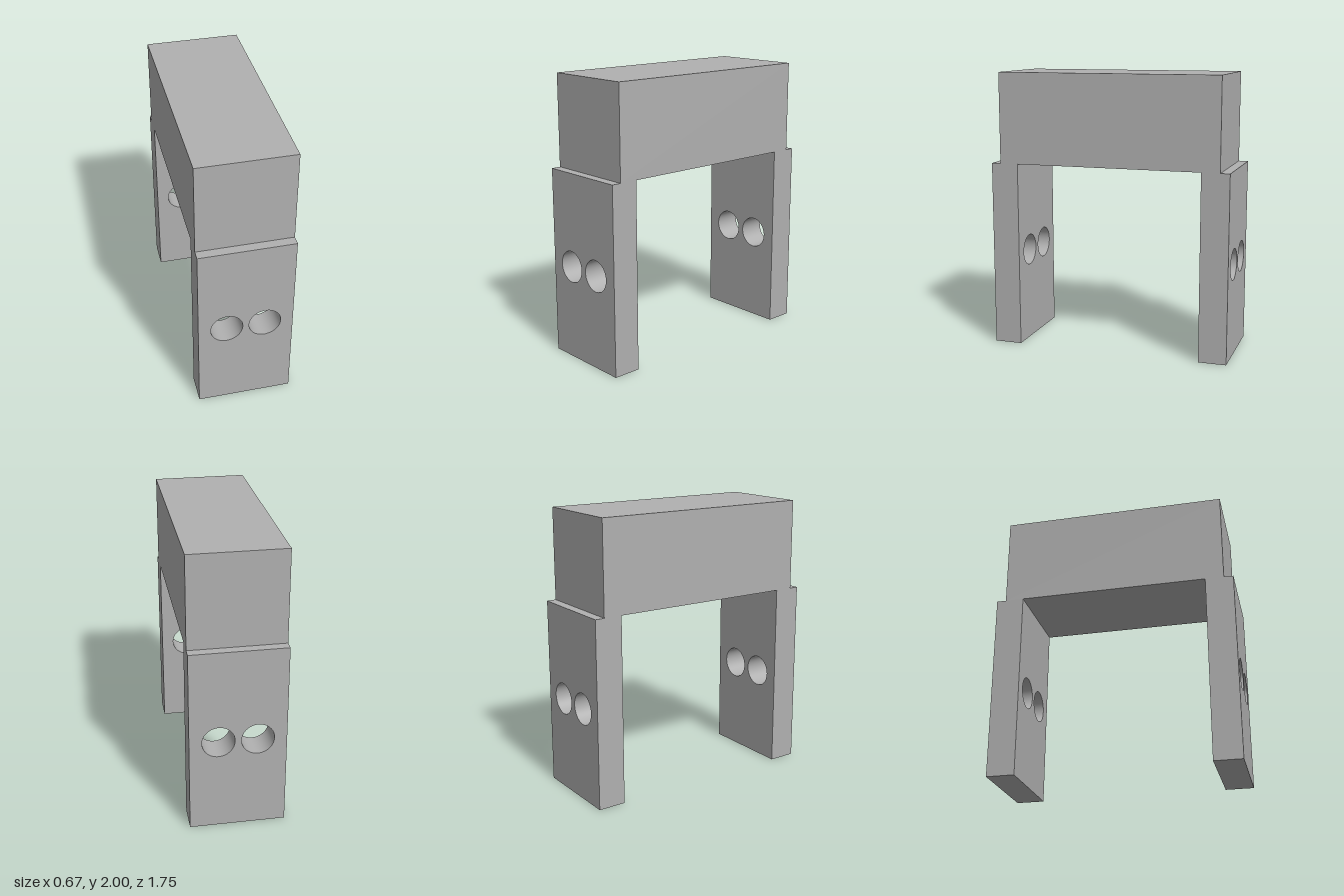
import * as THREE from 'three';
import { toCreasedNormals } from 'three/addons/utils/BufferGeometryUtils.js';

const HALF_WIDTH = 0.335, LEG_HEIGHT = 1.345, LEG_DEPTH = 0.2, LEG_INNER_Z = 0.675;

// Upright plate with two round through-holes side by side
function legGeometry() {
  const shape = new THREE.Shape([
    new THREE.Vector2(-HALF_WIDTH, 0),
    new THREE.Vector2(HALF_WIDTH, 0),
    new THREE.Vector2(HALF_WIDTH, LEG_HEIGHT),
    new THREE.Vector2(-HALF_WIDTH, LEG_HEIGHT),
  ]);
  for (const x of [-0.135, 0.135]) {
    const hole = new THREE.Path();
    hole.absarc(x, 0.675, 0.113, 0, Math.PI * 2, true);
    shape.holes.push(hole);
  }
  const geometry = new THREE.ExtrudeGeometry(shape, {
    depth: LEG_DEPTH, bevelEnabled: false, curveSegments: 32,
  });
  return toCreasedNormals(geometry, Math.PI / 6);
}

export function createModel() {
  const model = new THREE.Group();
  model.name = 'bracket';
  const grey = new THREE.MeshStandardMaterial({ color: 0xb0b0b0 });
  grey.name = 'plain grey';

  // Solid bridge resting on the legs
  const bridge = new THREE.Mesh(
    new THREE.BoxGeometry(HALF_WIDTH * 2, 2 - LEG_HEIGHT, 1.615), grey);
  bridge.name = 'bridge';
  bridge.position.y = (2 + LEG_HEIGHT) / 2;
  model.add(bridge);

  // Front and back legs, standing slightly proud of the bridge
  const geometry = legGeometry();
  for (const [name, z] of [['frontLeg', LEG_INNER_Z], ['backLeg', -LEG_INNER_Z - LEG_DEPTH]]) {
    const leg = new THREE.Mesh(geometry, grey);
    leg.name = name;
    leg.position.z = z;
    model.add(leg);
  }
  return model;
}
